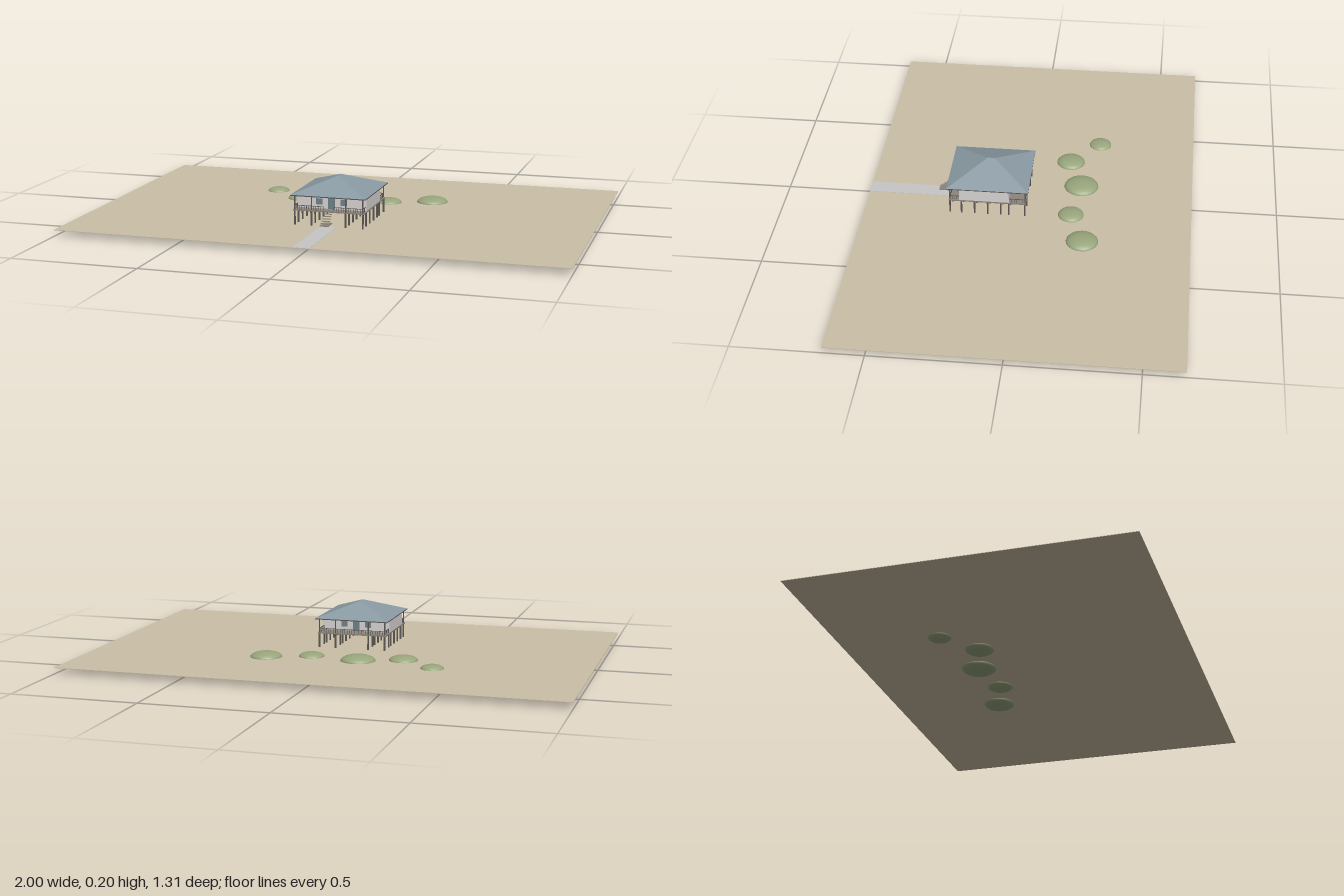
import * as THREE from 'three';

const mat = (name, color) => {
  const m = new THREE.MeshStandardMaterial({ color });
  m.name = name;
  return m;
};

export function createModel() {
  const root = new THREE.Group();
  root.name = 'stiltHouse';
  const sand = mat('sand', 0xcbbfa6), paving = mat('paving', 0xc6c6c6), wall = mat('wall', 0xd9d6d4);
  const timber = mat('timber', 0x5c5854), deckWood = mat('deckWood', 0x8c857c);
  const roofing = mat('roofing', 0x8a9aa3), glass = mat('glass', 0x71828c), leaf = mat('leaf', 0x98a57c);

  const group = (name) => {
    const g = new THREE.Group();
    g.name = name;
    root.add(g);
    return g;
  };
  const add = (parent, name, geo, material, x, y, z) => {
    const m = new THREE.Mesh(geo, material);
    m.name = name;
    m.position.set(x, y, z);
    parent.add(m);
    return m;
  };
  // Box given by its lower and upper limits
  const box = (parent, name, material, [x0, x1], [y0, y1], [z0, z1]) =>
    add(parent, name, new THREE.BoxGeometry(x1 - x0, y1 - y0, z1 - z0), material,
      (x0 + x1) / 2, (y0 + y1) / 2, (z0 + z1) / 2);

  const GROUND = 0.026, DECK = 0.088, EAVE = 0.146, RAIL = 0.105;
  const FRONT = 0.31, BACK = 0.008, MID = 0.158;

  // Site
  box(root, 'ground', sand, [-1, 1], [0.024, GROUND], [-0.657, 0.657]);
  box(root, 'path', paving, [-0.033, 0.033], [GROUND, GROUND + 0.001], [0.315, 0.656]);

  // Shrubs: flattened spheres half sunk into the ground
  const shrubs = group('shrubs');
  [[-0.4, -0.262, 0.046], [-0.257, -0.147, 0.058], [-0.087, -0.203, 0.07],
    [0.113, -0.175, 0.052], [0.284, -0.232, 0.064]].forEach(([x, z, r]) => {
    add(shrubs, 'shrub', new THREE.SphereGeometry(r, 24, 16), leaf, x, 0.0252, z).scale.y = 0.36;
  });

  // Stilts in rows under the deck
  const stilts = group('stilts');
  for (const z of [FRONT, 0.264, 0.211, 0.158, 0.105, 0.073, BACK])
    for (const x of [-0.138, -0.069, 0.069, 0.138])
      box(stilts, 'stilt', timber, [x - 0.003, x + 0.003], [GROUND, DECK - 0.005], [z - 0.003, z + 0.003]);

  // Deck and enclosed rooms
  box(root, 'deck', deckWood, [-0.144, 0.144], [DECK - 0.005, DECK], [BACK - 0.004, FRONT + 0.004]);
  box(root, 'rooms', wall, [-0.142, 0.142], [DECK, EAVE], [0.072, 0.272]);

  // Doors and windows on both long walls
  const openings = group('openings');
  for (const [z, s] of [[0.272, 1], [0.072, -1]]) {
    const zr = s > 0 ? [z, z + 0.002] : [z - 0.002, z];
    box(openings, 'door', glass, [-0.014, 0.014], [DECK, 0.131], zr);
    for (const x of [-0.05, 0.05])
      box(openings, 'window', glass, [x - 0.013, x + 0.013], [0.104, 0.128], zr);
  }

  // Verandah posts
  const posts = group('verandahPosts');
  for (const z of [FRONT, BACK])
    for (const x of [-0.138, -0.069, 0.069, 0.138])
      box(posts, 'post', timber, [x - 0.002, x + 0.002], [DECK, EAVE], [z - 0.002, z + 0.002]);

  // Railings with balusters; the front one leaves a gap for the stair
  const railings = group('railings');
  const railing = (ax, az, bx, bz) => {
    const t = 0.0012;
    box(railings, 'rail', timber, [Math.min(ax, bx) - t, Math.max(ax, bx) + t], [RAIL - 0.002, RAIL],
      [Math.min(az, bz) - t, Math.max(az, bz) + t]);
    const n = Math.round(Math.hypot(bx - ax, bz - az) / 0.01);
    for (let i = 0; i <= n; i++) {
      const x = ax + (bx - ax) * i / n, z = az + (bz - az) * i / n;
      box(railings, 'baluster', timber, [x - 0.0008, x + 0.0008], [DECK, RAIL - 0.002], [z - 0.0008, z + 0.0008]);
    }
  };
  railing(-0.138, BACK, 0.138, BACK);
  for (const s of [-1, 1]) {
    railing(s * 0.138, FRONT, s * 0.022, FRONT);
    railing(s * 0.138, FRONT, s * 0.138, 0.272);
    railing(s * 0.138, BACK, s * 0.138, 0.072);
  }

  // Stair of open treads above a low landing
  const stair = group('stair');
  for (let i = 0; i < 6; i++) {
    const z = 0.321 + i * 0.0095, y = 0.08 - i * 0.0075;
    box(stair, 'tread', deckWood, [-0.017, 0.017], [y - 0.002, y], [z - 0.004, z + 0.004]);
  }
  box(stair, 'landing', deckWood, [-0.017, 0.017], [0.041, 0.044], [0.315, 0.372]);

  // Hipped roof with a short ridge, plus a thin eave board
  const X = 0.152, Z0 = MID - 0.164, Z1 = MID + 0.164, H = 0.203;
  const a = [-X, EAVE, Z1], b = [X, EAVE, Z1], c = [X, EAVE, Z0], d = [-X, EAVE, Z0];
  const e = [0, H, MID + 0.015], f = [0, H, MID - 0.015];
  const roof = new THREE.BufferGeometry();
  roof.setAttribute('position', new THREE.Float32BufferAttribute(
    [a, b, e, b, c, f, b, f, e, c, d, f, d, a, e, d, e, f].flat(), 3));
  roof.computeVertexNormals();
  add(root, 'roof', roof, roofing, 0, 0, 0);
  box(root, 'eaveBoard', timber, [-X, X], [EAVE - 0.004, EAVE], [Z0, Z1]);

  return root;
}
